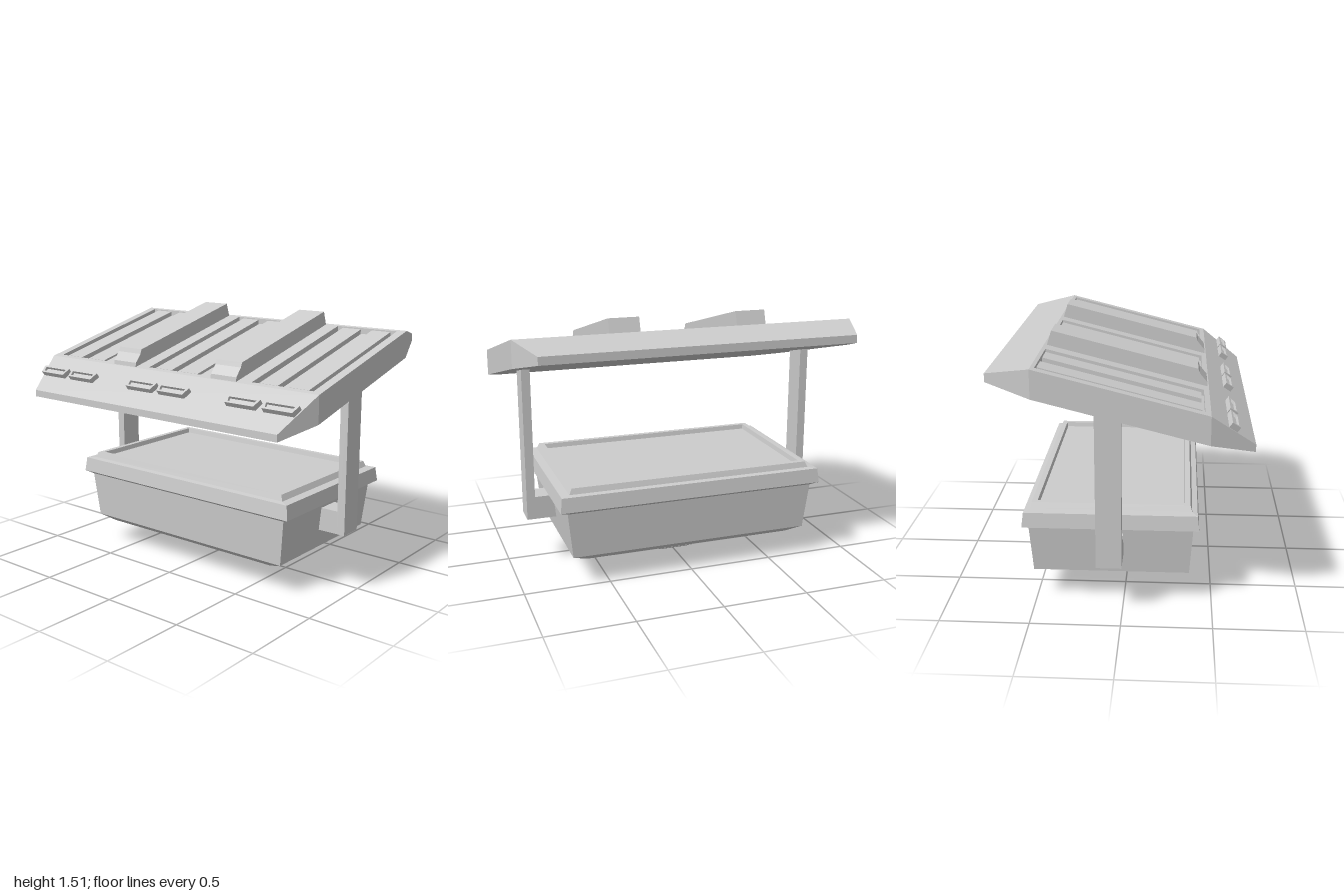
import * as THREE from 'three';

const SLOPE = 0.252;      // roof falls this much in y per unit of z
const ROOF_Y = 1.165;     // roof underside at z = 0
const BASE_Z = -0.07;     // centre of the tub
const material = new THREE.MeshStandardMaterial({ color: 0xcccccc, flatShading: true });
const tilt = new THREE.Matrix4().set(
  1, 0, 0, 0,
  0, 1, -SLOPE, ROOF_Y,
  0, 0, 1, 0,
  0, 0, 0, 1);

// Joins rings of [x, y, z] points, counter-clockwise about the direction of travel, and caps both ends
function loft(rings) {
  const pos = [];
  const tri = (a, b, c) => pos.push(...a, ...b, ...c);
  const n = rings[0].length;
  for (let i = 0; i + 1 < rings.length; i++) {
    for (let j = 0; j < n; j++) {
      const k = (j + 1) % n;
      tri(rings[i][j], rings[i][k], rings[i + 1][k]);
      tri(rings[i][j], rings[i + 1][k], rings[i + 1][j]);
    }
  }
  const first = rings[0], last = rings[rings.length - 1];
  for (let j = 1; j + 1 < n; j++) {
    tri(first[0], first[j + 1], first[j]);
    tri(last[0], last[j], last[j + 1]);
  }
  const g = new THREE.BufferGeometry();
  g.setAttribute('position', new THREE.Float32BufferAttribute(pos, 3));
  g.computeVertexNormals();
  return g;
}

const rectRing = ([hx, hz, y]) =>
  [[hx, y, hz], [hx, y, -hz], [-hx, y, -hz], [-hx, y, hz]];

const octRing = ([hx, hz, y]) => {
  const ix = hx * 0.6, iz = hz * 0.47;
  return [[hx, y, iz], [hx, y, -iz], [ix, y, -hz], [-ix, y, -hz],
    [-hx, y, -iz], [-hx, y, iz], [-ix, y, hz], [ix, y, hz]];
};

function box(x0, x1, y0, y1, z0, z1) {
  return new THREE.BoxGeometry(x1 - x0, y1 - y0, z1 - z0)
    .translate((x0 + x1) / 2, (y0 + y1) / 2, (z0 + z1) / 2);
}

const polygon = (pts) => new THREE.Shape(pts.map(([x, y]) => new THREE.Vector2(x, y)));
const rect = (x0, x1, y0, y1) => polygon([[x0, y0], [x1, y0], [x1, y1], [x0, y1]]);
const extrude = (shape, depth) => new THREE.ExtrudeGeometry(shape, { depth, bevelEnabled: false });

function add(parent, name, geometry) {
  const mesh = new THREE.Mesh(geometry, material);
  mesh.name = name;
  parent.add(mesh);
  return mesh;
}

function group(parent, name) {
  const g = new THREE.Group();
  g.name = name;
  parent.add(g);
  return g;
}

function buildBase(parent) {
  const base = group(parent, 'base');
  base.position.z = BASE_Z;
  // Tub with flared underside, overhanging rim and sunken lid
  add(base, 'tub', loft([
    [0.52, 0.34, 0.13], [0.62, 0.4, 0.148], [0.715, 0.44, 0.183], [0.745, 0.458, 0.455],
    [0.79, 0.49, 0.475], [0.78, 0.48, 0.56], [0.73, 0.45, 0.565], [0.715, 0.44, 0.598],
    [0.685, 0.41, 0.598], [0.68, 0.405, 0.57],
  ].map(rectRing)));
  add(base, 'underPlate', box(-0.425, 0.425, 0.08, 0.14, -0.26, 0.26));
  // Eight-sided foot with a barred socket
  add(base, 'foot', loft([
    [0.09, 0.065, 0.035], [0.09, 0.065, 0], [0.14, 0.1, 0],
    [0.21, 0.148, 0.028], [0.21, 0.148, 0.085],
  ].map(octRing)));
  add(base, 'footBar', box(-0.018, 0.018, 0.012, 0.04, -0.06, 0.06));
}

function buildSupports(parent) {
  for (const s of [1, -1]) {
    const side = group(parent, s > 0 ? 'leftSupport' : 'rightSupport');
    const span = (a, b) => (s > 0 ? [a, b] : [-b, -a]);
    add(side, 'post', box(...span(0.85, 0.9), 0.295, 1.21, -0.14, 0));
    add(side, 'bracket', box(...span(0.71, 0.85), 0.295, 0.432, -0.14, 0));
  }
}

function buildRoof(parent) {
  const roof = group(parent, 'roof');
  const TOP = 0.156, FLOOR = 0.122, BACK = -0.45, FRONT = 0.46;
  // Slab from back to front: [z, half width, height], dropped in the middle for the panels
  const slab = loft([
    [-0.695, 0.91, 0.046], [BACK, 1, TOP], [BACK, 1, FLOOR],
    [FRONT, 1, FLOOR], [FRONT, 1, TOP], [0.695, 0.91, 0.04],
  ].map(([z, w, h]) => [[-w, 0, z], [w, 0, z], [w, h, z], [-w, h, z]]));
  add(roof, 'roofSlab', slab.applyMatrix4(tilt));

  // Top frame with three long openings
  const bays = [-0.75, 0, 0.75];
  const frame = rect(-1, 1, -FRONT, -BACK);
  for (const x of bays) frame.holes.push(rect(x - 0.197, x + 0.197, -0.43, 0.43));
  add(roof, 'roofFrame', extrude(frame, TOP - FLOOR)
    .rotateX(-Math.PI / 2).translate(0, FLOOR, 0).applyMatrix4(tilt));

  // Two slats in every opening
  for (const x of bays) {
    for (const dx of [-0.098, 0.098]) {
      add(roof, 'slat', box(x + dx - 0.061, x + dx + 0.061, FLOOR - 0.01, 0.15, -0.425, 0.415)
        .applyMatrix4(tilt));
    }
  }

  // Raised ridges between the openings
  const ridge = polygon([[-0.455, 0.14], [0.44, 0.14], [0.41, 0.242], [-0.4, 0.242],
    [-0.41, 0.218], [-0.45, 0.18]]);
  for (const x of [-0.375, 0.375]) {
    add(roof, 'ridge', extrude(ridge, 0.178).translate(0, 0, -0.089)
      .rotateY(Math.PI / 2).translate(x, 0, 0).applyMatrix4(tilt));
  }

  // Lamps on the front slope: hollow bezel and sunken lens
  const bezel = polygon([[-0.095, -0.027], [0.095, -0.027], [0.11, 0.027], [-0.11, 0.027]]);
  bezel.holes.push(polygon([[-0.08, -0.015], [0.08, -0.015], [0.09, 0.015], [-0.09, 0.015]]));
  const lamps = [0.12, 0.605, 0.847];
  for (const x of [...lamps, ...lamps.map((v) => -v)]) {
    const lamp = group(roof, 'lamp');
    lamp.position.set(x, 1.12, 0.572);
    lamp.rotation.x = -0.94;
    add(lamp, 'lampBezel', extrude(bezel, 0.042).translate(0, 0, -0.01));
    add(lamp, 'lampLens', box(-0.092, 0.092, -0.017, 0.017, -0.01, 0.016));
  }
}

export function createModel() {
  const model = new THREE.Group();
  model.name = 'canopyStation';
  buildBase(model);
  buildSupports(model);
  buildRoof(model);
  return model;
}
